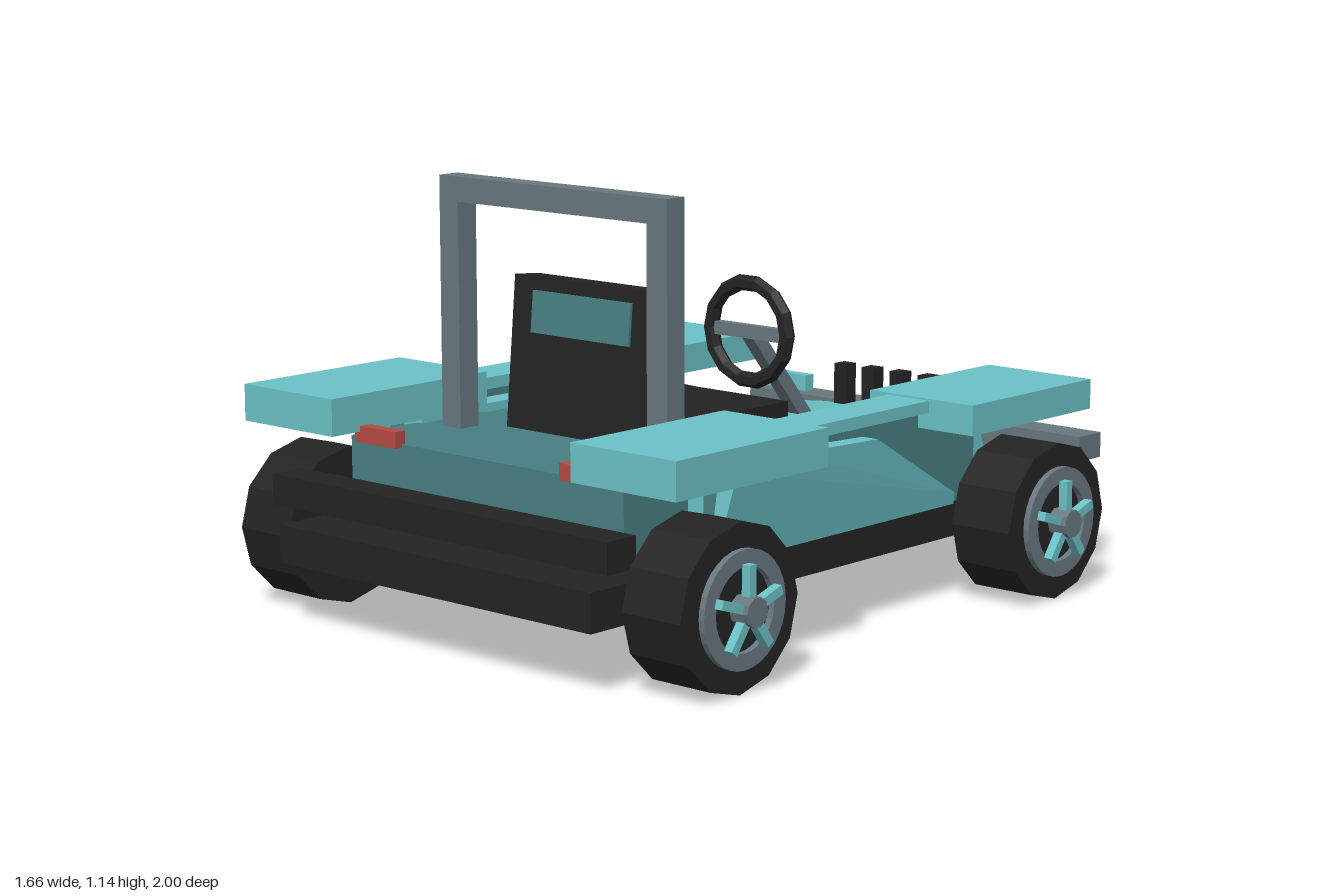
import * as THREE from 'three';
import { ConvexGeometry } from 'three/addons/geometries/ConvexGeometry.js';

const mat = (name, color) => {
  const m = new THREE.MeshStandardMaterial({ color, flatShading: true });
  m.name = name;
  return m;
};

export function createModel() {
  const teal = mat('teal paint', 0x6bc2c7);
  const darkTeal = mat('dark teal', 0x487f82);
  const black = mat('black', 0x232323);
  const gray = mat('gray metal', 0x68787f);
  const red = mat('red', 0xb54b43);
  const car = new THREE.Group();
  car.name = 'openBuggy';

  const add = (name, geo, material, parent = car) => {
    const m = new THREE.Mesh(geo, material);
    m.name = name;
    parent.add(m);
    return m;
  };
  // Box given by its limits on each axis
  const box = (name, material, x0, x1, y0, y1, z0, z1, parent = car) => {
    const m = add(name, new THREE.BoxGeometry(x1 - x0, y1 - y0, z1 - z0), material, parent);
    m.position.set((x0 + x1) / 2, (y0 + y1) / 2, (z0 + z1) / 2);
    return m;
  };
  // Same box on both sides
  const pair = (name, material, x0, x1, ...r) => {
    box(name + 'Left', material, x0, x1, ...r);
    box(name + 'Right', material, -x1, -x0, ...r);
  };
  const hull = (name, material, pts) =>
    add(name, new ConvexGeometry(pts.map((p) => new THREE.Vector3(...p))), material);

  // Chassis, bumpers and tub
  box('chassis', black, -0.55, 0.55, 0.165, 0.265, -0.825, 1.0);
  box('rearBumper', black, -0.59, 0.59, 0.31, 0.39, 0.885, 0.985);
  box('frontBumper', gray, -0.6, 0.6, 0.295, 0.365, -1.0, -0.9);
  box('tub', darkTeal, -0.48, 0.48, 0.285, 0.48, 0.36, 0.81);
  box('cabinFloor', darkTeal, -0.455, 0.455, 0.27, 0.478, 0.02, 0.36);
  box('crossBar', black, -0.45, 0.45, 0.45, 0.49, 0.09, 0.18);

  // Tapered sloping hood
  const hood = [];
  for (const s of [1, -1]) {
    hood.push([s * 0.46, 0.485, 0.035], [s * 0.48, 0.27, 0.035], [s * 0.26, 0.365, -0.86],
      [s * 0.29, 0.365, -0.85], [s * 0.3, 0.19, -0.91], [s * 0.31, 0.19, -0.825]);
  }
  hull('hood', teal, hood);

  // Flanks, fenders and rails
  for (const s of [1, -1]) {
    const side = s > 0 ? 'Left' : 'Right';
    const profile = [[0.27, 0.62, 0.6], [0.5, 0.58, 0.64], [0.515, 0.38, 0.64],
      [0.5, 0.03, 0.63], [0.3, -0.33, 0.605], [0.27, -0.33, 0.6], [0.27, 0.03, 0.6]];
    const pts = [];
    for (const [y, z, x] of profile) pts.push([s * x, y, z], [s * 0.582, y, z]);
    hull('sidePanel' + side, teal, pts);
  }
  pair('innerPanel', darkTeal, 0.53, 0.58, 0.27, 0.535, -0.44, 0.58);
  pair('cabinSill', teal, 0.46, 0.53, 0.27, 0.5, 0.03, 0.58);
  pair('sideRail', teal, 0.48, 0.615, 0.533, 0.565, -0.21, 0.36);
  pair('rearFender', teal, 0.42, 0.757, 0.5, 0.597, 0.38, 0.93);
  pair('frontFender', teal, 0.42, 0.757, 0.49, 0.57, -0.72, -0.2);

  // Lights and grille
  pair('tailLight', red, 0.29, 0.44, 0.472, 0.515, 0.8, 0.835);
  pair('headlight', teal, 0.28, 0.45, 0.405, 0.45, -0.81, -0.775);
  for (let i = -2; i <= 2; i++) {
    const x = i * 0.102;
    box('grilleBar', black, x - 0.022, x + 0.022, 0.31, 0.485, -0.885, -0.84);
  }

  // Seat with tilted back and headrest
  box('seatBase', black, -0.24, 0.24, 0.45, 0.535, -0.08, 0.4);
  const back = new THREE.Group();
  back.name = 'seatBack';
  back.position.set(0, 0.68, 0.415);
  back.rotation.x = -0.09;
  car.add(back);
  box('backrest', black, -0.247, 0.247, -0.2, 0.2, -0.045, 0.045, back);
  box('headrestPad', darkTeal, -0.172, 0.172, 0.055, 0.165, -0.053, 0.053, back);

  // Roll bar
  pair('rollBarPost', gray, 0.33, 0.397, 0.47, 1.08, 0.5, 0.565);
  box('rollBarTop', gray, -0.397, 0.397, 1.075, 1.14, 0.5, 0.565);

  // Steering wheel and column
  const rim = add('steeringWheel', new THREE.TorusGeometry(0.135, 0.022, 6, 14), black);
  rim.position.set(0, 0.68, -0.2);
  box('steeringSpoke', gray, -0.125, 0.125, 0.662, 0.698, -0.215, -0.19);
  const a = new THREE.Vector3(0, 0.68, -0.205), b = new THREE.Vector3(0, 0.4, -0.44);
  const column = add('steeringColumn', new THREE.BoxGeometry(0.04, 0.04, a.distanceTo(b)), gray);
  column.position.copy(a).lerp(b, 0.5);
  column.lookAt(b);

  // Wheels, modelled with the outer face toward +x
  const disc = (name, material, r, x0, x1, n, parent) => {
    const g = new THREE.CylinderGeometry(r, r, x1 - x0, n).rotateZ(-Math.PI / 2);
    add(name, g, material, parent).position.x = (x0 + x1) / 2;
  };
  const ringShape = new THREE.Shape().absarc(0, 0, 0.147, 0, Math.PI * 2);
  ringShape.holes.push(new THREE.Path().absarc(0, 0, 0.105, 0, Math.PI * 2, true));
  const ringGeo = new THREE.ExtrudeGeometry(ringShape, { depth: 0.035, bevelEnabled: false, curveSegments: 16 })
    .rotateY(Math.PI / 2);
  for (const z of [0.725, -0.55]) {
    for (const s of [1, -1]) {
      const wheel = new THREE.Group();
      wheel.name = (z > 0 ? 'rear' : 'front') + 'Wheel' + (s > 0 ? 'Left' : 'Right');
      wheel.position.set(0, 0.213, z);
      wheel.rotation.y = s > 0 ? 0 : Math.PI;
      car.add(wheel);
      disc('axle', gray, 0.027, 0.5, 0.62, 8, wheel);
      disc('tire', black, 0.211, 0.59, 0.775, 12, wheel);
      add('rimRing', ringGeo, gray, wheel).position.x = 0.757;
      for (let i = 0; i < 5; i++) {
        const g = new THREE.BoxGeometry(0.025, 0.085, 0.024).translate(0.803, 0.07, 0);
        add('spoke', g, teal, wheel).rotation.x = (i * Math.PI * 2) / 5;
      }
      disc('hubCap', gray, 0.038, 0.77, 0.83, 10, wheel);
    }
  }
  return car;
}
